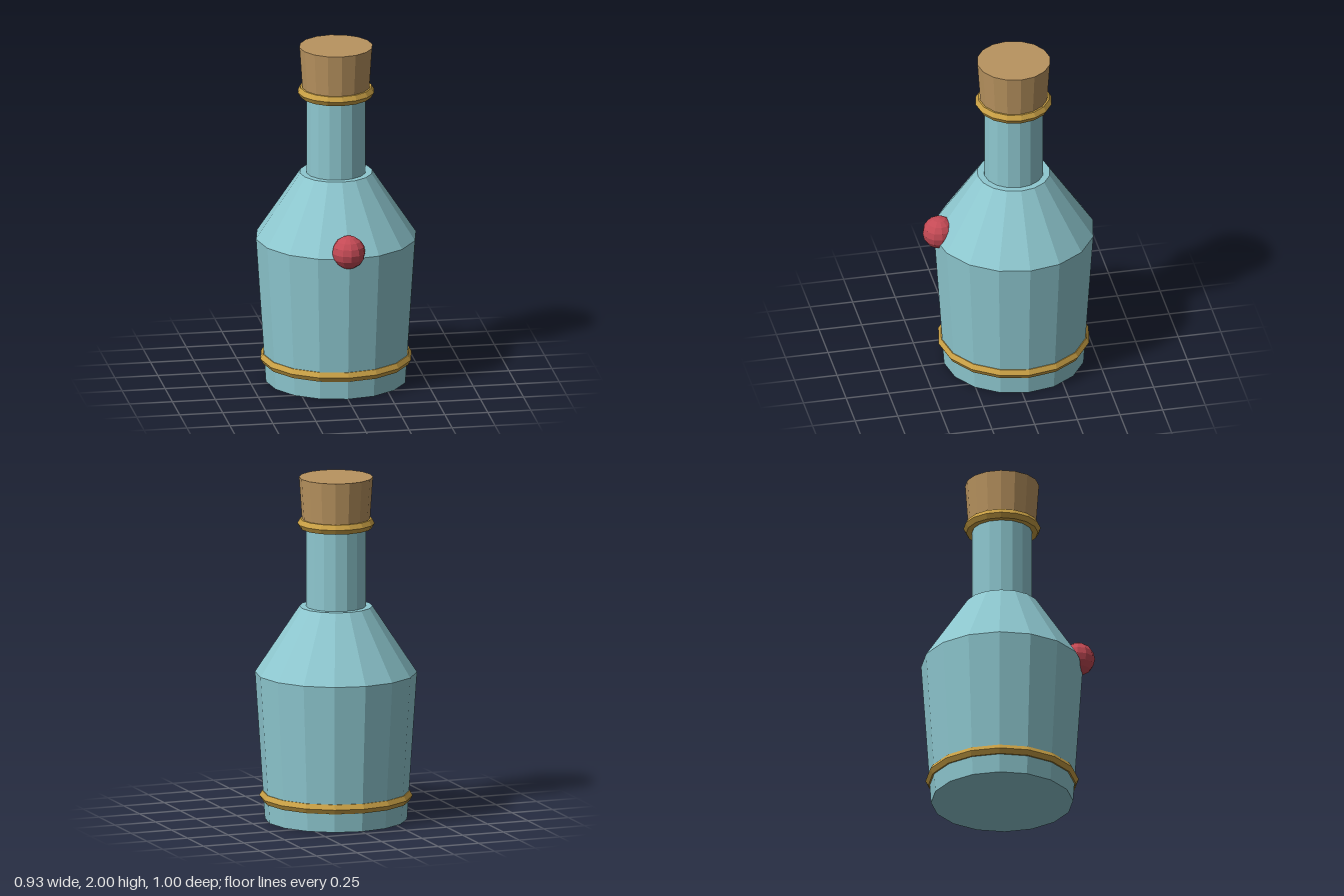
import * as THREE from 'three';

const SIDES = 16;
const AXIS_Z = -0.035;

export function createModel() {
  const model = new THREE.Group();
  model.name = 'corkedBottle';

  const material = (name, color) => {
    const m = new THREE.MeshStandardMaterial({ color });
    m.name = name;
    m.flatShading = true;
    return m;
  };
  const glass = material('paleBlueGlass', 0x8ec8d0);
  const cork = material('cork', 0xb8935f);
  const gold = material('gold', 0xc9a045);
  const red = material('red', 0xc44a55);

  const add = (name, geometry, mat, y, z = AXIS_Z) => {
    const mesh = new THREE.Mesh(geometry, mat);
    mesh.name = name;
    mesh.position.set(0, y, z);
    model.add(mesh);
    return mesh;
  };
  // Tapered section standing between two heights
  const section = (name, mat, rBottom, rTop, y0, y1) =>
    add(name, new THREE.CylinderGeometry(rTop, rBottom, y1 - y0, SIDES), mat, (y0 + y1) / 2);
  // Six-sided band around the bottle
  const band = (name, radius, y) => {
    const geometry = new THREE.TorusGeometry(radius, 0.032, 6, SIDES).rotateX(Math.PI / 2);
    return add(name, geometry, gold, y);
  };

  // Bottle and stopper
  section('body', glass, 0.408, 0.465, 0, 0.86);
  section('shoulder', glass, 0.465, 0.21, 0.86, 1.245);
  section('neck', glass, 0.172, 0.172, 1.2, 1.75);
  section('stopper', cork, 0.193, 0.212, 1.72, 2);

  // Gold bands
  band('baseBand', 0.408, 0.137);
  band('neckBand', 0.19, 1.73);

  // Round seal on the front of the shoulder
  add('seal', new THREE.SphereGeometry(0.096, 12, 8), red, 0.895, 0.402);

  return model;
}
